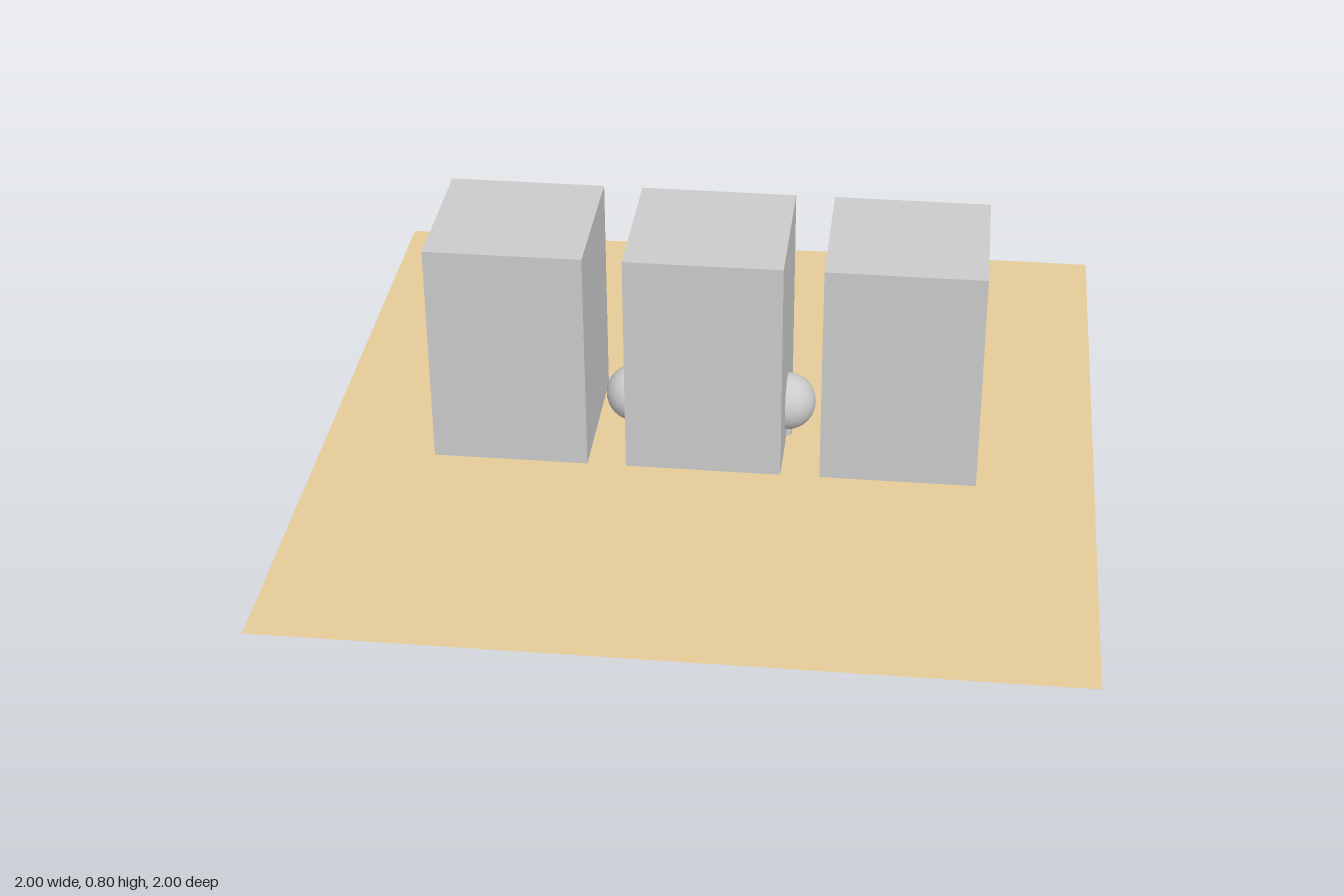
import * as THREE from 'three';

const grey = () => new THREE.MeshStandardMaterial({ color: 0xcccccc });

export function createModel() {
  const model = new THREE.Group();
  const add = (name, geometry, material, x, y, z = 0) => {
    const mesh = new THREE.Mesh(geometry, material);
    mesh.name = name;
    mesh.position.set(x, y, z);
    model.add(mesh);
    return mesh;
  };

  // Thin ground sheet, cutting the blocks a quarter of the way up
  const ground = add('ground', new THREE.PlaneGeometry(2, 2),
    new THREE.MeshStandardMaterial({ color: 0xe6cb98, side: THREE.DoubleSide }), 0, 0.2);
  ground.rotation.x = -Math.PI / 2;

  // Flat rounded patch under the ground, facing down
  const h = 0.5, r = 0.15;
  const outline = new THREE.Shape();
  [[1, 1], [-1, 1], [-1, -1], [1, -1]].forEach(([sx, sy], i) =>
    outline.absarc(sx * (h - r), sy * (h - r), r, i * Math.PI / 2, (i + 1) * Math.PI / 2, false));
  const patch = add('undersidePatch', new THREE.ShapeGeometry(outline, 8), grey(), 0, 0.198);
  patch.rotation.x = Math.PI / 2;

  // Row of three upright blocks
  const names = ['rightBlock', 'middleBlock', 'leftBlock'];
  names.forEach((name, i) =>
    add(name, new THREE.BoxGeometry(0.4, 0.8, 0.4), grey(), (i - 1) * 0.5, 0.4));

  // Ball on a short stem at each side of the middle block
  for (const side of [-1, 1]) {
    const prefix = side < 0 ? 'right' : 'left';
    add(prefix + 'Ball', new THREE.SphereGeometry(0.075, 32, 20), grey(), side * 0.2, 0.3);
    add(prefix + 'Stem', new THREE.CylinderGeometry(0.014, 0.014, 0.13, 16), grey(), side * 0.2, 0.193);
  }
  return model;
}
